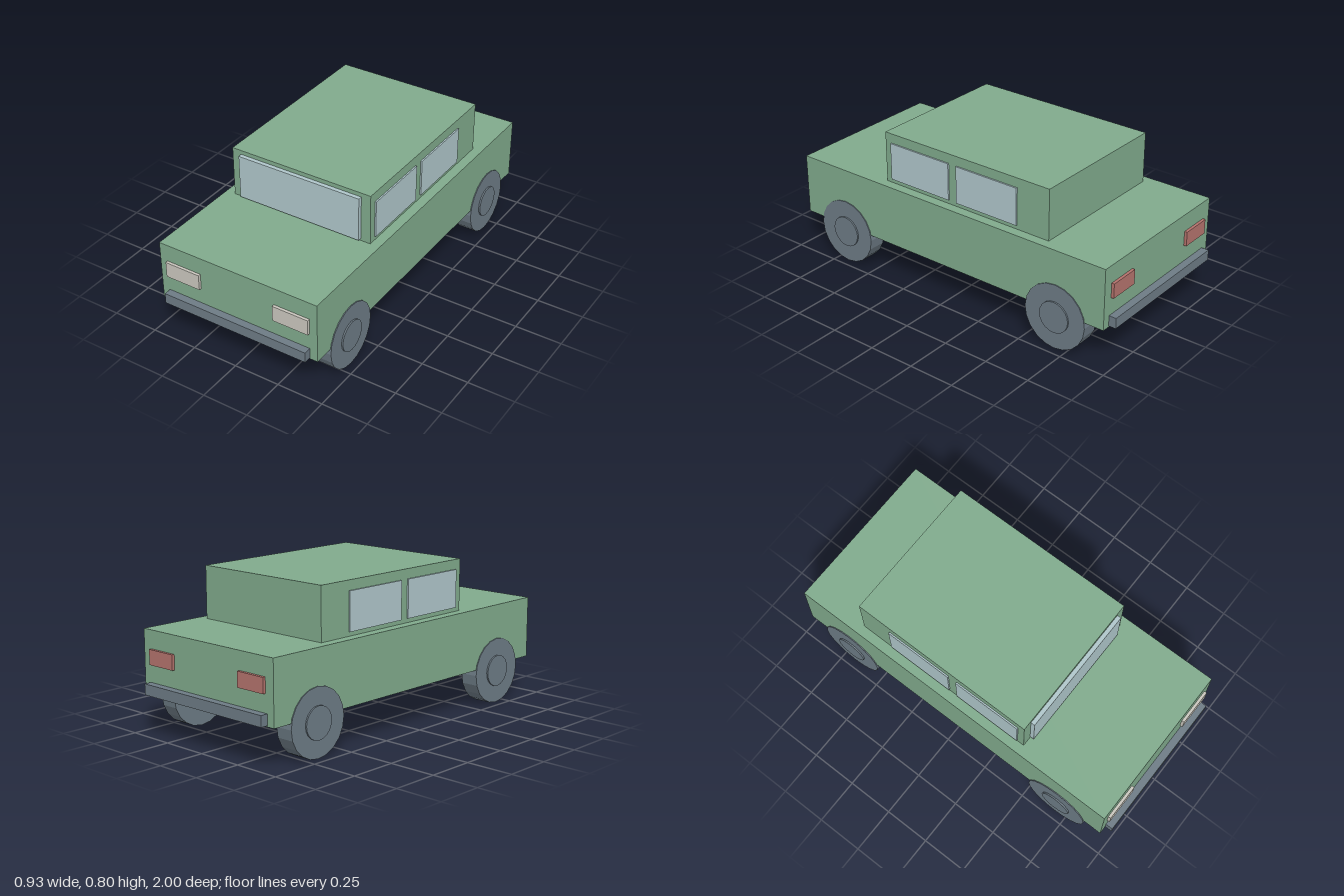
import * as THREE from 'three';

const paint = (name, color, flatShading = false) => {
  const m = new THREE.MeshStandardMaterial({ color, flatShading });
  m.name = name;
  return m;
};

export function createModel() {
  const green = paint('green body', 0x80aa8c);
  const glass = paint('pale glass', 0xafc6ca);
  const slate = paint('slate rubber and trim', 0x6d7b85, true);
  const cream = paint('cream headlight', 0xc9c6bd);
  const red = paint('red tail light', 0xb5736d);

  const car = new THREE.Group();
  car.name = 'car';

  // Box given by its limits on each axis
  const box = (name, material, [x0, x1], [y0, y1], [z0, z1]) => {
    const mesh = new THREE.Mesh(new THREE.BoxGeometry(x1 - x0, y1 - y0, z1 - z0), material);
    mesh.position.set((x0 + x1) / 2, (y0 + y1) / 2, (z0 + z1) / 2);
    mesh.name = name;
    car.add(mesh);
  };
  // The same box on the left (+x) and right (-x)
  const pair = (name, material, [x0, x1], y, z) => {
    box(name + 'Left', material, [x0, x1], y, z);
    box(name + 'Right', material, [-x1, -x0], y, z);
  };

  // Body and cabin
  box('body', green, [-0.453, 0.453], [0.206, 0.533], [-0.96, 0.96]);
  box('cabin', green, [-0.401, 0.401], [0.533, 0.805], [-0.6, 0.425]);

  // Windows
  box('windscreen', glass, [-0.349, 0.349], [0.546, 0.783], [0.425, 0.447]);
  pair('frontWindow', glass, [0.395, 0.409], [0.555, 0.754], [0.01, 0.387]);
  pair('rearWindow', glass, [0.395, 0.409], [0.555, 0.754], [-0.412, -0.04]);

  // Lights
  pair('headlight', cream, [0.213, 0.411], [0.356, 0.44], [0.95, 0.975]);
  pair('tailLight', red, [0.229, 0.4], [0.36, 0.438], [-0.975, -0.95]);

  // Bumpers
  box('frontBumper', slate, [-0.411, 0.411], [0.212, 0.268], [0.95, 1]);
  box('rearBumper', slate, [-0.411, 0.411], [0.212, 0.268], [-1, -0.95]);

  // Wheels with raised hubs
  const tyreShape = new THREE.CylinderGeometry(0.175, 0.175, 0.096, 20).rotateZ(Math.PI / 2);
  const hubShape = new THREE.CylinderGeometry(0.084, 0.084, 0.04, 20).rotateZ(Math.PI / 2);
  for (const side of [1, -1]) {
    for (const end of [1, -1]) {
      const wheel = new THREE.Group();
      wheel.name = (end > 0 ? 'front' : 'rear') + 'Wheel' + (side > 0 ? 'Left' : 'Right');
      const tyre = new THREE.Mesh(tyreShape, slate);
      tyre.name = 'tyre';
      const hub = new THREE.Mesh(hubShape, slate);
      hub.name = 'hub';
      hub.position.x = side * 0.036;
      wheel.add(tyre, hub);
      wheel.position.set(side * 0.41, 0.176, end * 0.682);
      car.add(wheel);
    }
  }
  return car;
}
